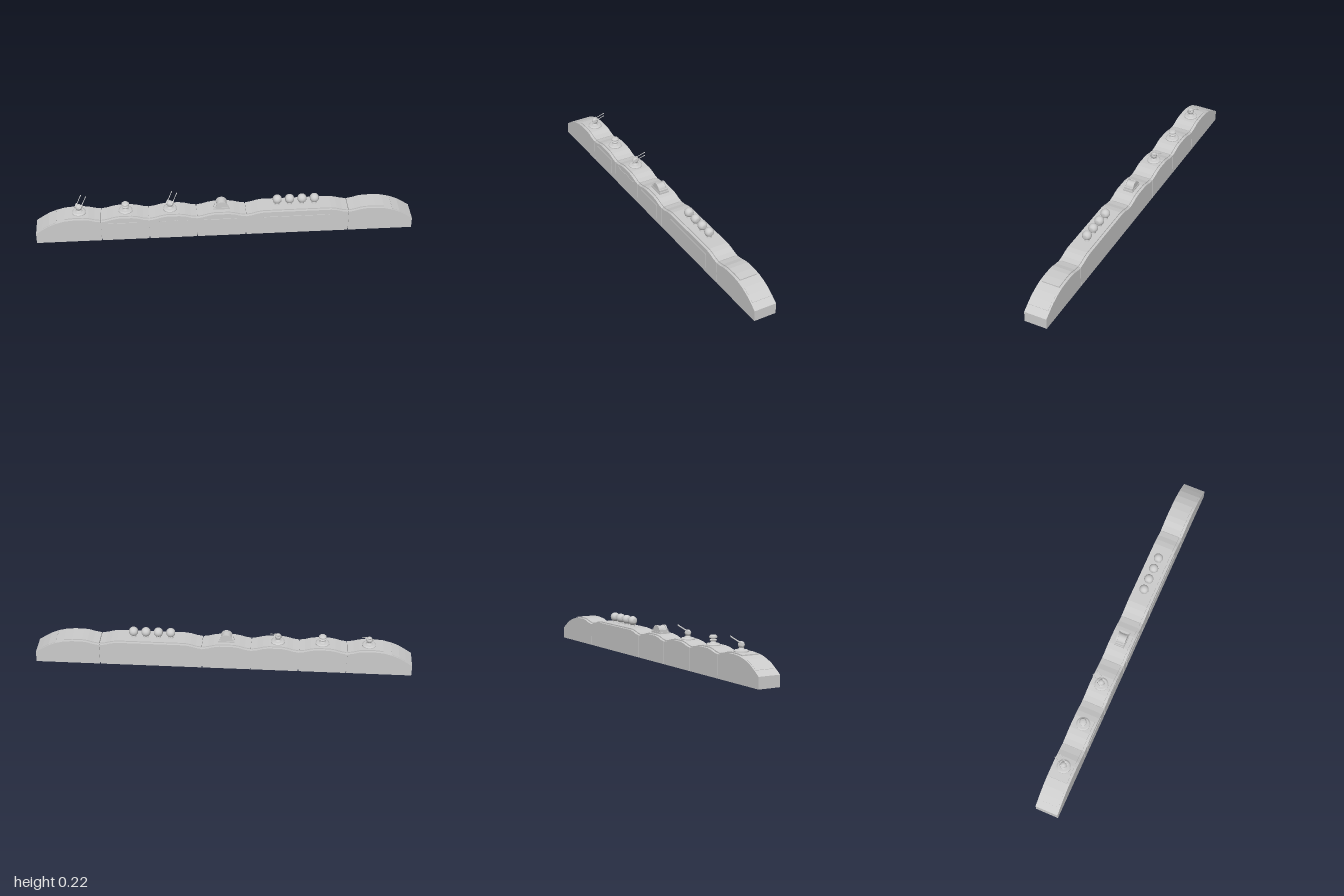
import * as THREE from 'three';

const material = new THREE.MeshStandardMaterial({ color: 0xcccccc });
const flat = new THREE.MeshStandardMaterial({ color: 0xcccccc, flatShading: true });
const BACK = -0.063, FRONT = 0.06, MID = (BACK + FRONT) / 2;

function add(parent, name, geometry, x = 0, y = 0, z = 0, mat = material) {
  const mesh = new THREE.Mesh(geometry, mat);
  mesh.name = name;
  mesh.position.set(x, y, z);
  parent.add(mesh);
  return mesh;
}

// Extrudes an outline in x/y between two z values
function slab(points, z0, z1) {
  const shape = new THREE.Shape(points.map(([x, y]) => new THREE.Vector2(x, y)));
  return new THREE.ExtrudeGeometry(shape, { depth: z1 - z0, bevelEnabled: false }).translate(0, 0, z0);
}

// A band that follows a roof line, raised by the given height
function band(roof, rise, z0, z1) {
  const under = roof.map(([x, y]) => [x, y - 0.004]).reverse();
  return slab([...roof.map(([x, y]) => [x, y + rise]), ...under].reverse(), z0, z1);
}

// Roof line of a middle car, low at both joints
function middleRoof(a, b) {
  return [[a, 0.12], [a + 0.03, 0.125], [a + 0.06, 0.134], [a + 0.09, 0.139],
    [b - 0.09, 0.139], [b - 0.06, 0.134], [b - 0.03, 0.125], [b, 0.12]];
}

// Roof line of an end car, curving down to the nose; side is -1 or 1
function endRoof(side) {
  const line = [[0.657, 0.12], [0.69, 0.126], [0.72, 0.135], [0.75, 0.139], [0.8, 0.139],
    [0.845, 0.135], [0.89, 0.123], [0.93, 0.106], [0.965, 0.084], [1, 0.06]];
  return side > 0 ? line : line.map(([x, y]) => [-x, y]).reverse();
}

function car(name, roof, side = 0) {
  const group = new THREE.Group();
  group.name = name;
  const a = roof[0][0], b = roof[roof.length - 1][0];
  add(group, 'hull', slab([[a, 0.004], [b, 0.004], ...[...roof].reverse()], BACK, FRONT), 0, 0, 0, flat);

  // Rim around the underside
  const rim = new THREE.Shape([[a, BACK], [b, BACK], [b, FRONT], [a, FRONT]].map(p => new THREE.Vector2(...p)));
  const w = 0.009;
  rim.holes.push(new THREE.Path([[a + w, BACK + w], [a + w, FRONT - w], [b - w, FRONT - w], [b - w, BACK + w]]
    .map(p => new THREE.Vector2(...p))));
  const rimMesh = add(group, 'undersideRim',
    new THREE.ExtrudeGeometry(rim, { depth: 0.004, bevelEnabled: false }), 0, 0.004, 0, flat);
  rimMesh.rotation.x = Math.PI / 2;

  // Raised roof plate and, on end cars, the sloping nose plate
  const plate = side > 0 ? roof.slice(0, 6) : side < 0 ? roof.slice(-6) : roof;
  add(group, 'roofPlate', band(plate, 0.006, MID - 0.048, MID + 0.048), 0, 0, 0, flat);
  if (side) {
    const nose = side > 0 ? roof.slice(6, 9) : roof.slice(1, 4);
    add(group, 'nosePlate', band(nose, 0.002, MID - 0.053, MID + 0.053), 0, 0, 0, flat);
  }
  return group;
}

// Round pedestal shared by the turrets
function pedestal(group) {
  const points = [[0, 0], [0.037, 0], [0.037, 0.005], [0.03, 0.01], [0.018, 0.011], [0.012, 0.018], [0.012, 0.026], [0, 0.026]];
  add(group, 'pedestal', new THREE.LatheGeometry(points.map(p => new THREE.Vector2(...p)), 24), 0, 0, 0, flat);
}

function gunTurret() {
  const group = new THREE.Group();
  group.name = 'gunTurret';
  pedestal(group);
  add(group, 'turretHead', new THREE.SphereGeometry(0.017, 20, 12), 0, 0.034, 0);
  const cradle = new THREE.Group();
  cradle.name = 'gunCradle';
  cradle.position.y = 0.038;
  cradle.rotation.x = 0.58;
  for (const s of [-1, 1]) {
    add(cradle, 'gunMount', new THREE.BoxGeometry(0.008, 0.013, 0.024), s * 0.015, 0, 0);
    const barrel = add(cradle, 'gunBarrel', new THREE.CylinderGeometry(0.0016, 0.0024, 0.06, 8), s * 0.015, 0.002, -0.034);
    barrel.rotation.x = -Math.PI / 2;
    const muzzle = add(cradle, 'muzzle', new THREE.CylinderGeometry(0.0025, 0.0025, 0.01, 8), s * 0.015, 0.002, -0.058);
    muzzle.rotation.x = -Math.PI / 2;
  }
  group.add(cradle);
  group.rotation.y = -Math.PI / 6;
  return group;
}

function sensorMast() {
  const group = new THREE.Group();
  group.name = 'sensorMast';
  pedestal(group);
  const points = [[0, 0.02], [0.017, 0.022], [0.019, 0.028], [0.012, 0.031], [0.012, 0.034], [0.02, 0.038],
    [0.02, 0.045], [0.013, 0.052], [0, 0.054]];
  add(group, 'mastHead', new THREE.LatheGeometry(points.map(p => new THREE.Vector2(...p)), 24), 0, 0, 0, flat);
  return group;
}

// Wide drum lying across the roof between two flanges
function drumMount() {
  const group = new THREE.Group();
  group.name = 'drumMount';
  add(group, 'drumBase', new THREE.BoxGeometry(0.088, 0.01, 0.056), 0, 0.005, 0);
  const drum = add(group, 'drum', new THREE.CylinderGeometry(0.027, 0.027, 0.044, 24), 0, 0.014, 0);
  drum.rotation.x = Math.PI / 2;
  for (const s of [-1, 1]) {
    const flange = add(group, 'drumFlange', new THREE.CylinderGeometry(0.031, 0.031, 0.007, 24), 0, 0.014, s * 0.022);
    flange.rotation.x = Math.PI / 2;
    add(group, 'drumBracket', new THREE.BoxGeometry(0.009, 0.018, 0.05), s * 0.034, 0.012, 0);
  }
  return group;
}

// Globe with its sides cut flat
function globe() {
  const group = new THREE.Group();
  group.name = 'globe';
  const cut = 0.42, r = 0.025, points = [new THREE.Vector2(0, -r * Math.cos(cut))];
  for (let i = 0; i <= 12; i++) {
    const t = cut + (Math.PI - 2 * cut) * i / 12;
    points.push(new THREE.Vector2(r * Math.sin(t), -r * Math.cos(t)));
  }
  points.push(new THREE.Vector2(0, r * Math.cos(cut)));
  add(group, 'globeBody', new THREE.LatheGeometry(points, 24), 0, 0.033, 0).rotation.z = Math.PI / 2;
  add(group, 'globeFoot', new THREE.CylinderGeometry(0.01, 0.014, 0.014, 16), 0, 0.006, 0);
  return group;
}

export function createModel() {
  const model = new THREE.Group();
  model.name = 'armouredTrain';

  // Six cars with narrow gaps between them
  const joints = [-0.655, -0.402, -0.15, 0.11, 0.655];
  model.add(car('rearCar', endRoof(-1), -1), car('leadCar', endRoof(1), 1));
  for (let i = 0; i < 4; i++) model.add(car('middleCar', middleRoof(joints[i] + 0.002, joints[i + 1] - 0.002)));
  for (const x of joints) add(model, 'coupling', new THREE.BoxGeometry(0.01, 0.108, 0.112), x, 0.06, MID);

  // Side doors
  for (const [a, b] of [[-0.62, -0.45], [-0.115, 0.06], [0.2, 0.555]]) {
    add(model, 'sideDoor', new THREE.BoxGeometry(b - a, 0.085, 0.006), (a + b) / 2, 0.067, FRONT);
  }

  // Row of small vents
  for (let i = 0; i < 14; i++) {
    add(model, 'vent', new THREE.BoxGeometry(0.007, 0.004, 0.003), -0.37 + i * 0.013, 0.108, FRONT);
  }

  // Roof equipment
  const top = 0.144;
  const place = (part, x) => { part.position.set(x, top, MID - 0.002); model.add(part); };
  place(gunTurret(), -0.77);
  place(sensorMast(), -0.525);
  place(gunTurret(), -0.29);
  place(drumMount(), -0.017);
  for (let i = 0; i < 4; i++) place(globe(), 0.279 + i * 0.066);
  return model;
}
